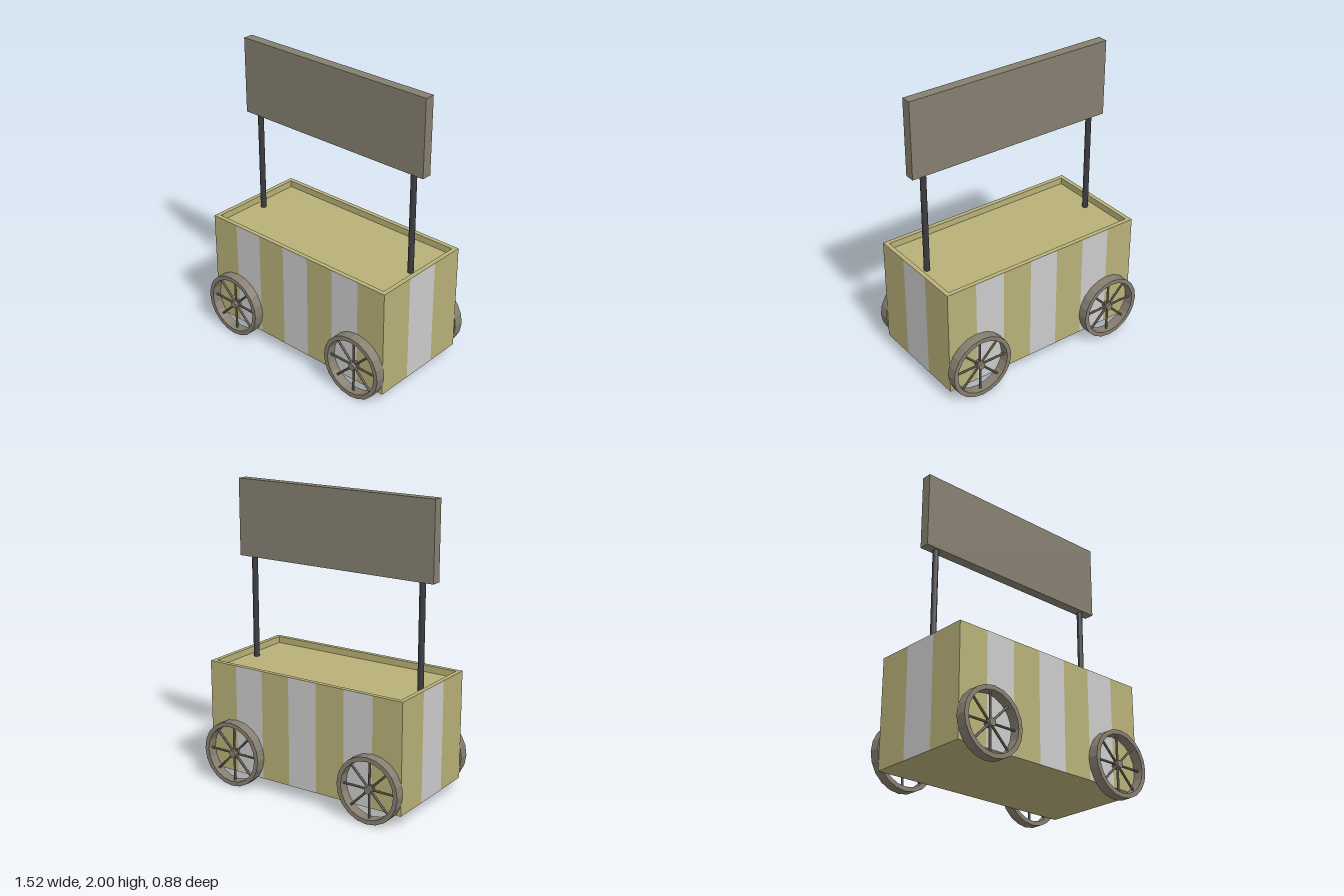
import * as THREE from 'three';

const mat = (color, extra = {}) => new THREE.MeshStandardMaterial({ color, ...extra });
const olive = mat(0xb8b078);
const grey = mat(0xcccccc);
const wood = mat(0x867f70, { flatShading: true });
const dark = mat(0x3c3c40, { flatShading: true });

const W = 1.49, D = 0.745, Y0 = 0.08, Y1 = 0.825, FLOOR = 0.78, WALL = 0.031;
const WHEEL_R = 0.223, WHEEL_W = 0.07;

function add(parent, name, geometry, material, x = 0, y = 0, z = 0) {
  const mesh = new THREE.Mesh(geometry, material);
  mesh.name = name;
  mesh.position.set(x, y, z);
  parent.add(mesh);
  return mesh;
}

function rectPoints(w, d) {
  return [[-w, -d], [w, -d], [w, d], [-w, d]].map(([x, y]) => new THREE.Vector2(x / 2, y / 2));
}

// Cart box with a shallow tray on top
function createBody() {
  const body = new THREE.Group();
  body.name = 'cartBody';
  add(body, 'box', new THREE.BoxGeometry(W, FLOOR - Y0, D), olive, 0, (Y0 + FLOOR) / 2, 0);

  const outline = new THREE.Shape(rectPoints(W, D));
  outline.holes.push(new THREE.Path(rectPoints(W - 2 * WALL, D - 2 * WALL).reverse()));
  const lip = new THREE.ExtrudeGeometry(outline, { depth: Y1 - FLOOR, bevelEnabled: false });
  lip.rotateX(-Math.PI / 2);
  add(body, 'trayLip', lip, olive, 0, FLOOR, 0);

  // Painted stripes: three on each long side, one on each end
  const h = Y1 - Y0, yMid = (Y0 + Y1) / 2, gap = 0.001;
  for (const s of [1, -1]) {
    const turn = s > 0 ? 0 : Math.PI;
    for (const i of [-2, 0, 2]) {
      const stripe = add(body, 'sideStripe', new THREE.PlaneGeometry(W / 7, h), grey,
        i * W / 7, yMid, s * (D / 2 + gap));
      stripe.rotation.y = turn;
    }
    const end = add(body, 'endStripe', new THREE.PlaneGeometry(D / 3, h), grey,
      s * (W / 2 + gap), yMid, 0);
    end.rotation.y = s * Math.PI / 2;
  }
  return body;
}

// Spoked wheel with its axle along z
function createWheel() {
  const wheel = new THREE.Group();
  wheel.name = 'wheel';
  const ri = 0.193, hw = WHEEL_W / 2;
  const section = [[ri, -hw], [WHEEL_R, -hw], [WHEEL_R, hw], [ri, hw], [ri, -hw]]
    .map(([r, y]) => new THREE.Vector2(r, y));
  const rim = new THREE.LatheGeometry(section, 20);
  rim.rotateX(Math.PI / 2);
  add(wheel, 'rim', rim, wood);

  const hub = new THREE.CylinderGeometry(0.025, 0.025, 0.05, 12);
  hub.rotateX(Math.PI / 2);
  add(wheel, 'hub', hub, wood);

  // Four bars through the hub make eight spokes
  for (let i = 0; i < 4; i++) {
    const bar = add(wheel, 'spokes', new THREE.CylinderGeometry(0.008, 0.008, 2 * ri + 0.01, 8), wood);
    bar.rotation.z = i * Math.PI / 4;
  }
  return wheel;
}

export function createModel() {
  const cart = new THREE.Group();
  cart.name = 'vendorCart';
  cart.add(createBody());

  for (const x of [-0.535, 0.535]) {
    for (const s of [1, -1]) {
      const wheel = createWheel();
      wheel.position.set(x, WHEEL_R, s * (D / 2 + WHEEL_W / 2 - 0.002));
      cart.add(wheel);
    }
  }

  // Sign board on two posts
  const signY = 1.48;
  for (const x of [-0.65, 0.65]) {
    add(cart, 'signPost', new THREE.CylinderGeometry(0.02, 0.02, signY - FLOOR, 12), dark,
      x, (signY + FLOOR) / 2, 0);
  }
  add(cart, 'signBoard', new THREE.BoxGeometry(W, 2 - signY, 0.07), wood, 0, (2 + signY) / 2, 0);
  return cart;
}
